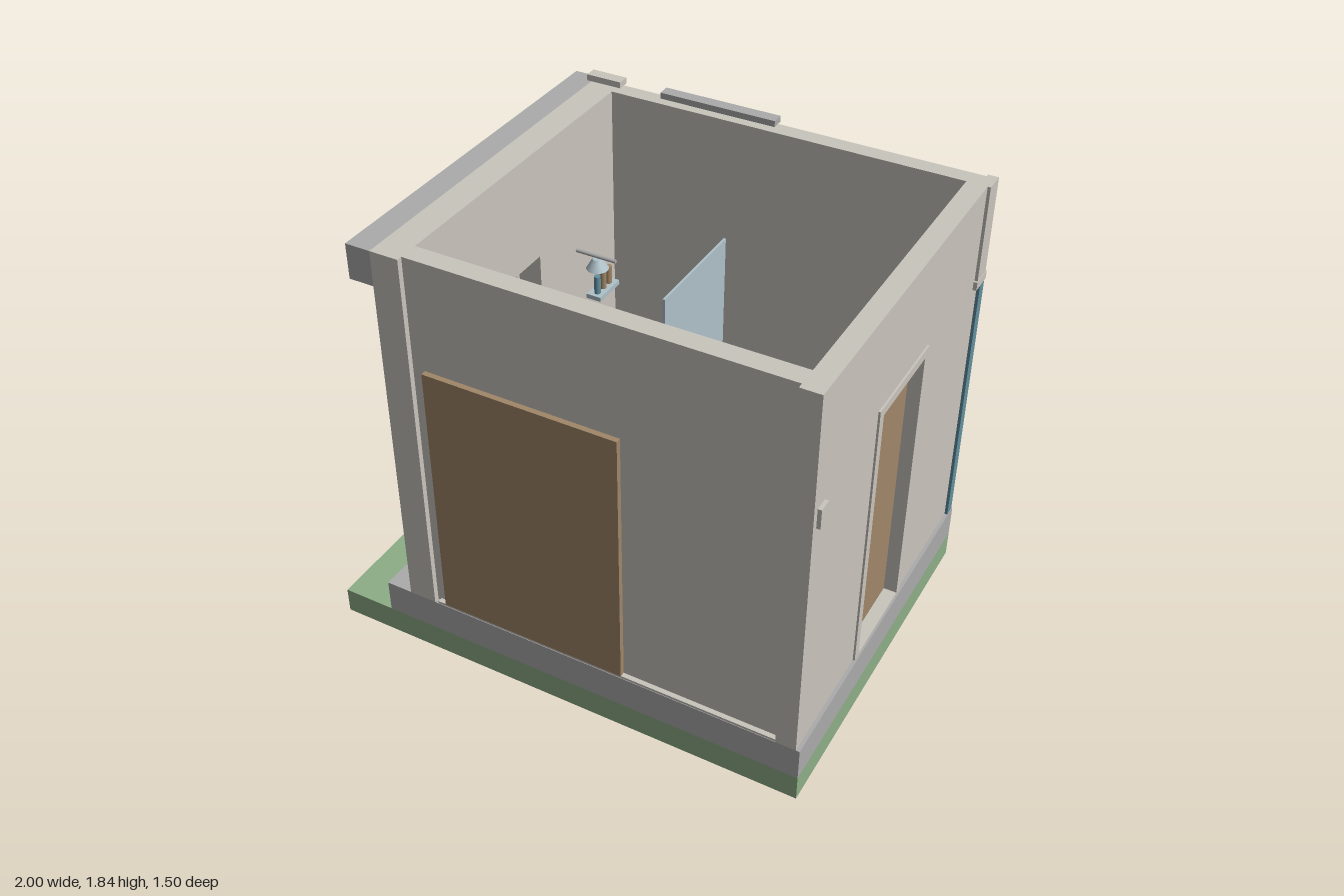
import * as THREE from 'three';

const mat = (name, color) => {
  const m = new THREE.MeshStandardMaterial({ color });
  m.name = name;
  return m;
};

export function createModel() {
  const root = new THREE.Group();
  root.name = 'roomBuilding';
  const plaster = mat('plaster', 0xc9c5bd);
  const wood = mat('wood', 0xa08668);
  const concrete = mat('concrete', 0xababab);
  const grass = mat('grass', 0x8eae86);
  const paleBlue = mat('paleBlue', 0xafc1c9);
  const teal = mat('teal', 0x628f9e);

  const add = (name, geo, material, parent = root) => {
    const m = new THREE.Mesh(geo, material);
    m.name = name;
    parent.add(m);
    return m;
  };
  const group = (name) => {
    const g = new THREE.Group();
    g.name = name;
    root.add(g);
    return g;
  };
  // box from its limits on each axis
  const box = (name, material, [x0, x1], [y0, y1], [z0, z1], parent) =>
    add(name, new THREE.BoxGeometry(x1 - x0, y1 - y0, z1 - z0)
      .translate((x0 + x1) / 2, (y0 + y1) / 2, (z0 + z1) / 2), material, parent);
  // upright cylinder standing on y
  const post = (name, material, x, y, z, r, h, parent, rTop = r) =>
    add(name, new THREE.CylinderGeometry(rTop, r, h, 16).translate(x, y + h / 2, z), material, parent);
  // cylinder lying along x
  const bar = (name, material, [x0, x1], y, z, r, parent) =>
    add(name, new THREE.CylinderGeometry(r, r, x1 - x0, 12).rotateZ(Math.PI / 2)
      .translate((x0 + x1) / 2, y, z), material, parent);
  const rect = (C, z0, z1, y0, y1) => new C([
    new THREE.Vector2(z0, y0), new THREE.Vector2(z1, y0),
    new THREE.Vector2(z1, y1), new THREE.Vector2(z0, y1)]);
  // side slab in the z-y plane with rectangular openings
  const slab = (name, material, [x0, x1], outer, holes, parent) => {
    const s = rect(THREE.Shape, ...outer);
    holes.forEach((h) => s.holes.push(rect(THREE.Path, ...h)));
    const g = new THREE.ExtrudeGeometry(s, { depth: x1 - x0, bevelEnabled: false });
    return add(name, g.rotateY(-Math.PI / 2).translate(x1, 0, 0), material, parent);
  };

  // ground and base
  box('lawn', grass, [-1, 1], [0, 0.11], [-0.75, 0.75]);
  box('foundation', concrete, [-0.78, 1], [0.11, 0.25], [-0.75, 0.75]);
  box('floor', paleBlue, [-0.555, 0.905], [0.25, 0.262], [-0.66, 0.65]);

  // walls
  const walls = group('walls');
  slab('leftWall', plaster, [-0.67, -0.555], [-0.75, 0.75, 0.25, 1.81], [[-0.1, 0.18, 1.07, 1.36]], walls);
  slab('rightWall', plaster, [0.905, 0.985], [-0.73, 0.75, 0.25, 1.81], [[-0.155, 0.215, 0.26, 1.38]], walls);
  box('frontWall', plaster, [-0.555, 0.905], [0.25, 1.81], [0.65, 0.728], walls);
  box('backWall', plaster, [-0.555, 0.905], [0.25, 1.81], [-0.73, -0.66], walls);
  box('frontSill', plaster, [-0.54, 0.905], [0.25, 0.26], [0.728, 0.748], walls);

  // eave beam, pilaster and roof-edge blocks
  box('eaveBeam', concrete, [-0.77, -0.67], [1.67, 1.81], [-0.75, 0.75]);
  box('pilaster', concrete, [-0.72, -0.67], [0.25, 1.67], [0.4, 0.53]);
  box('roofEdgeBar', concrete, [-0.36, 0.13], [1.81, 1.835], [-0.75, -0.7]);
  box('roofEdgeBlock', plaster, [-0.69, -0.54], [1.81, 1.835], [-0.75, -0.7]);

  // front door panel
  box('frontDoor', wood, [-0.505, 0.275], [0.26, 1.36], [0.728, 0.75]);

  // side door with frame and inner handle
  const door = group('sideDoor');
  box('doorLeaf', wood, [0.905, 0.94], [0.26, 1.38], [-0.155, 0.215], door);
  slab('doorFrame', plaster, [0.985, 0.993], [-0.19, 0.25, 0.25, 1.415], [[-0.155, 0.215, 0.26, 1.38]], door);
  slab('innerDoorFrame', plaster, [0.897, 0.905], [-0.19, 0.25, 0.262, 1.415], [[-0.155, 0.215, 0.264, 1.38]], door);
  const knob = add('doorHandle', new THREE.SphereGeometry(0.018, 12, 8), concrete, door);
  knob.position.set(0.88, 0.8, 0.165);

  // left window, open with a cross of bars
  const win = group('window');
  slab('windowFrame', plaster, [-0.678, -0.655], [-0.11, 0.19, 1.06, 1.37],
    [[-0.08, 0.03, 1.09, 1.205], [0.05, 0.16, 1.09, 1.205],
      [-0.08, 0.03, 1.225, 1.34], [0.05, 0.16, 1.225, 1.34]], win);
  box('windowSill', plaster, [-0.725, -0.67], [1.035, 1.06], [-0.16, 0.24], win);

  // back corner: blue post under a trim
  const corner = group('cornerPost');
  box('bluePost', teal, [0.955, 0.997], [0.25, 1.38], [-0.745, -0.7], corner);
  box('cornerLip', plaster, [0.955, 1], [1.38, 1.415], [-0.75, -0.65], corner);
  box('cornerTrim', plaster, [0.955, 0.997], [1.415, 1.809], [-0.745, -0.66], corner);

  // small boxes on the outer walls
  box('sideWallBox', plaster, [0.985, 1], [1.27, 1.35], [0.67, 0.725]);
  box('backWallBox', plaster, [0.625, 0.705], [1.5, 1.56], [-0.75, -0.73]);

  // shower
  const shower = group('shower');
  box('showerTray', plaster, [-0.53, -0.03], [0.262, 0.3], [-0.615, -0.12], shower);
  post('drain', teal, -0.28, 0.3, -0.365, 0.027, 0.004, shower);
  box('glassScreen', paleBlue, [-0.03, -0.02], [0.262, 1.32], [-0.62, -0.12], shower);
  box('screenHandle', concrete, [-0.02, -0.005], [0.75, 0.85], [-0.15, -0.135], shower);
  bar('showerArm', concrete, [-0.555, -0.375], 1.245, -0.365, 0.008, shower);
  post('showerHead', paleBlue, -0.46, 1.19, -0.365, 0.046, 0.045, shower, 0.02);
  box('showerShelf', paleBlue, [-0.555, -0.49], [0.98, 1], [-0.585, -0.43], shower);
  [wood, wood, teal].forEach((m, i) =>
    post('bottle', m, -0.52, 1, -0.55 + i * 0.045, 0.014, 0.08, shower));

  // toilet and paper roll
  const toilet = group('toilet');
  box('bowl', plaster, [-0.42, -0.245], [0.262, 0.46], [0.3, 0.6], toilet);
  box('seat', plaster, [-0.44, -0.225], [0.46, 0.485], [0.26, 0.515], toilet);
  box('lid', plaster, [-0.435, -0.23], [0.485, 0.495], [0.3, 0.515], toilet);
  box('tank', plaster, [-0.445, -0.225], [0.43, 0.7], [0.515, 0.62], toilet);
  post('flushButton', paleBlue, -0.335, 0.7, 0.565, 0.015, 0.008, toilet);
  bar('rollHolder', concrete, [-0.555, -0.46], 0.6, 0.41, 0.01, toilet);
  bar('paperRoll', plaster, [-0.52, -0.465], 0.6, 0.41, 0.028, toilet);

  // wash stand with taps, mirror and lamp
  const wash = group('washStand');
  box('cabinet', concrete, [0.605, 0.895], [0.262, 0.66], [0.275, 0.61], wash);
  box('basin', plaster, [0.64, 0.855], [0.66, 0.667], [0.335, 0.55], wash);
  post('coldTap', paleBlue, 0.665, 0.667, 0.525, 0.018, 0.03, wash);
  post('spout', concrete, 0.745, 0.667, 0.525, 0.008, 0.07, wash);
  post('hotTap', wood, 0.83, 0.667, 0.525, 0.016, 0.03, wash);
  box('mirror', paleBlue, [0.61, 0.88], [0.85, 1.24], [0.638, 0.65], wash);
  box('mirrorLamp', plaster, [0.635, 0.86], [1.255, 1.3], [0.625, 0.65], wash);

  // loose items
  box('floorMat', teal, [0.08, 0.36], [0.262, 0.27], [-0.35, -0.16]);
  post('bin', plaster, 0.8, 0.262, -0.365, 0.045, 0.18, root, 0.055);
  const rail = group('towelRail');
  bar('railBar', concrete, [0.05, 0.34], 0.9, 0.635, 0.007, rail);
  [0.06, 0.33].forEach((x) =>
    box('railBracket', concrete, [x - 0.006, x + 0.006], [0.894, 0.906], [0.635, 0.65], rail));

  return root;
}
